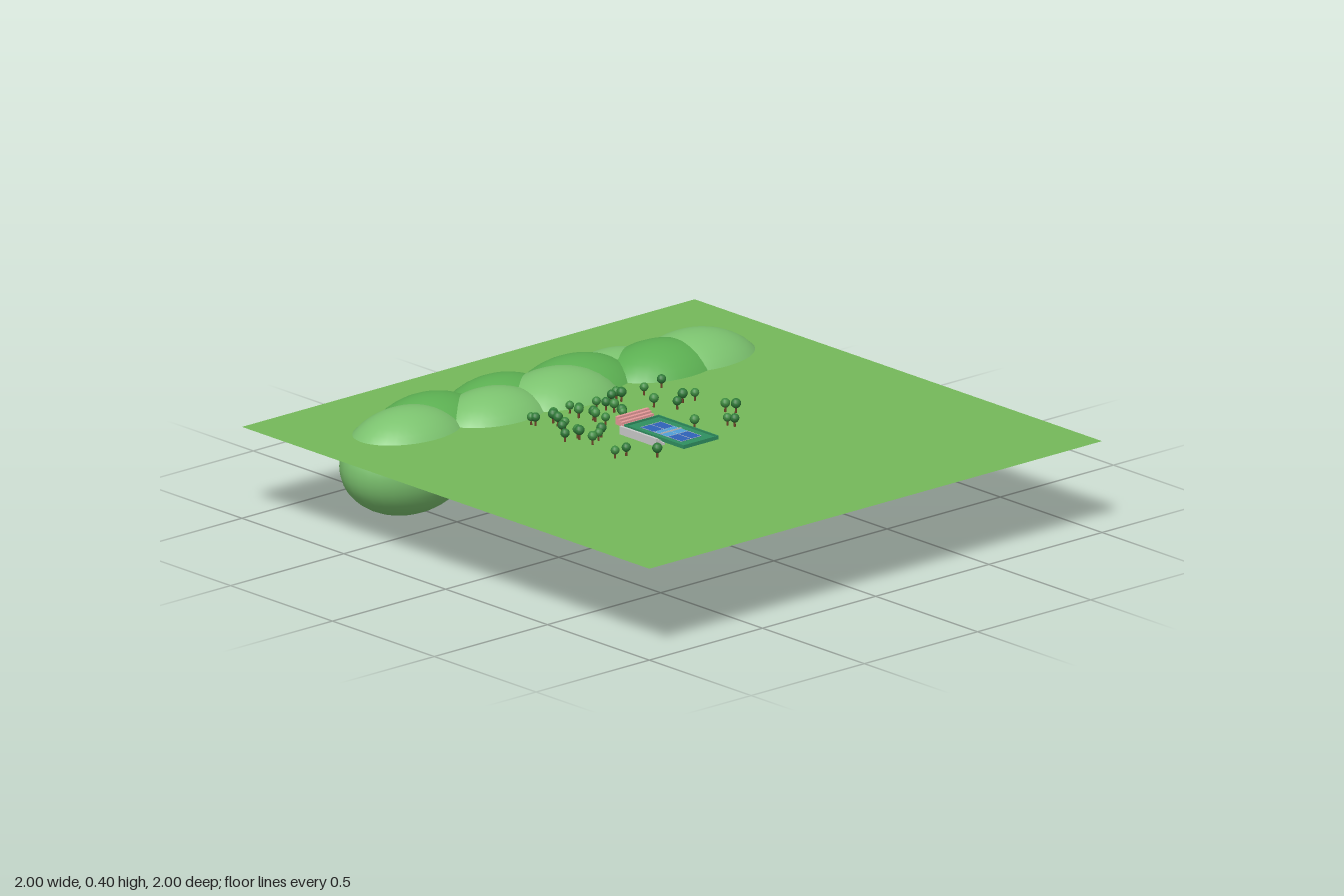
import * as THREE from 'three';

const GROUND = 0.323;
const mat = (color, extra = {}) => new THREE.MeshStandardMaterial({ color, ...extra });

function add(parent, name, geometry, material, x, y, z) {
  const mesh = new THREE.Mesh(geometry, material);
  mesh.name = name;
  mesh.position.set(x, y, z);
  parent.add(mesh);
  return mesh;
}

function group(parent, name) {
  const g = new THREE.Group();
  g.name = name;
  parent.add(g);
  return g;
}

// Overlapping ellipsoids, wider in x, half sunk through the lawn
function addHills(root) {
  const hills = group(root, 'hills');
  const light = mat(0x7cc36f), dark = mat(0x5cb052);
  const sphere = new THREE.SphereGeometry(1, 32, 20);
  const list = [ // x, y, z, radius, material
    [-0.613, 0.217, -0.62, 0.18, light], [-0.46, 0.215, -0.675, 0.182, dark],
    [-0.28, 0.215, -0.575, 0.185, light], [-0.155, 0.213, -0.67, 0.183, dark],
    [0, 0.208, -0.57, 0.2, light], [0.15, 0.209, -0.635, 0.195, dark],
    [0.335, 0.212, -0.65, 0.17, light], [0.45, 0.208, -0.567, 0.198, dark],
    [0.61, 0.207, -0.57, 0.2, light],
  ];
  for (const [x, y, z, r, m] of list) add(hills, 'hill', sphere, m, x, y, z).scale.set(1.4 * r, r, r);
}

function addCourt(root) {
  const court = group(root, 'court');
  court.position.y = GROUND;
  const green = mat(0x2f8f60), blue = mat(0x2f62b8), sky = mat(0x4f9fd8), white = mat(0xf0f0f0);
  const box = (name, m, w, h, d, x, y, z) => add(court, name, new THREE.BoxGeometry(w, h, d), m, x, y, z);
  box('courtBase', green, 0.154, 0.006, 0.294, 0, 0.003, -0.004);
  box('playingField', blue, 0.09, 0.001, 0.2, 0, 0.0065, -0.005);
  box('midCourt', sky, 0.09, 0.001, 0.066, 0, 0.0072, -0.005);
  // Painted lines
  for (const s of [-1, 1]) {
    box('sideLine', white, 0.001, 0.001, 0.2, s * 0.045, 0.0076, -0.005);
    box('endLine', white, 0.09, 0.001, 0.001, 0, 0.0076, -0.005 + s * 0.1);
    box('serviceLine', white, 0.09, 0.001, 0.001, 0, 0.0076, -0.005 + s * 0.033);
  }
  box('centreLine', white, 0.001, 0.001, 0.2, 0, 0.0076, -0.005);
  box('net', white, 0.092, 0.006, 0.001, 0, 0.0095, -0.005);
  // Low boundary walls
  for (const s of [-1, 1]) {
    box('sideWall', green, 0.003, 0.013, 0.294, s * 0.0755, 0.0065, -0.004);
    box('endWall', green, 0.154, 0.013, 0.003, 0, 0.0065, -0.004 + s * 0.1455);
  }
}

// Stepped seating that rises away from the court (local -z)
function addStand(root, name, color, width, depth, x, z, turn) {
  const stand = group(root, name);
  stand.position.set(x, GROUND, z);
  stand.rotation.y = turn;
  const m = mat(color), rows = 4, step = depth / rows;
  for (let i = 0; i < rows; i++) {
    const h = 0.007 * (i + 1);
    add(stand, 'seatRow', new THREE.BoxGeometry(width, h, step), m, 0, h / 2, depth / 2 - (i + 0.5) * step);
  }
}

function addTrees(root) {
  const trees = group(root, 'trees');
  const bark = mat(0x6b4226), leaves = [mat(0x3d8b40), mat(0x2f7a38)];
  const trunk = new THREE.CylinderGeometry(0.003, 0.004, 0.022, 6);
  const crown = new THREE.SphereGeometry(0.016, 10, 8);
  const spots = [ // x, z in hundredths of a unit
    [-28, -38], [-27.5, -36.5], [-20, -36], [-21.5, -34.5], [-10.5, -38.5], [-10, -34.5], [-11.5, -33],
    [-22.5, -31], [-23, -27], [-26.5, -24.5], [-10, -26.5], [-9.5, -28], [-1, -36], [0.5, -33],
    [1, -29.5], [-1.5, -23], [-2, -22], [7, -37.5], [10, -38.5], [10.5, -36.5], [20.5, -36.5],
    [30, -38.5], [14.5, -25], [24.5, -22], [29, -21], [18.5, -18], [28.5, -5.5], [30.5, -2.5],
    [19.5, 5.5], [20.5, 8], [9.5, 0.5], [-20, 15], [-31, 6.5], [-26.5, 7], [-27, -9], [-19.5, -13],
    [-22.5, -11], [-31.5, -17.5], [-26, -17.5], [-26.5, -16], [-10, -21.5],
  ];
  spots.forEach(([x, z], i) => {
    const tree = group(trees, 'tree');
    tree.position.set(x / 100, GROUND, z / 100);
    tree.scale.setScalar(0.92 + 0.05 * (i % 4));
    add(tree, 'trunk', trunk, bark, 0, 0.011, 0);
    add(tree, 'crown', crown, leaves[i % 2], 0, 0.031, 0);
  });
}

export function createModel() {
  const root = new THREE.Group();
  root.name = 'parkWithCourt';
  // Flat lawn
  const lawn = new THREE.PlaneGeometry(2, 2).rotateX(-Math.PI / 2);
  add(root, 'lawn', lawn, mat(0x74b85a, { side: THREE.DoubleSide }), 0, GROUND, 0);
  addHills(root);
  addCourt(root);
  addStand(root, 'endStand', 0xe79a9a, 0.14, 0.044, 0, -0.178, 0);
  addStand(root, 'sideStand', 0xcccccc, 0.18, 0.038, -0.111, -0.023, Math.PI / 2);
  addTrees(root);
  return root;
}
